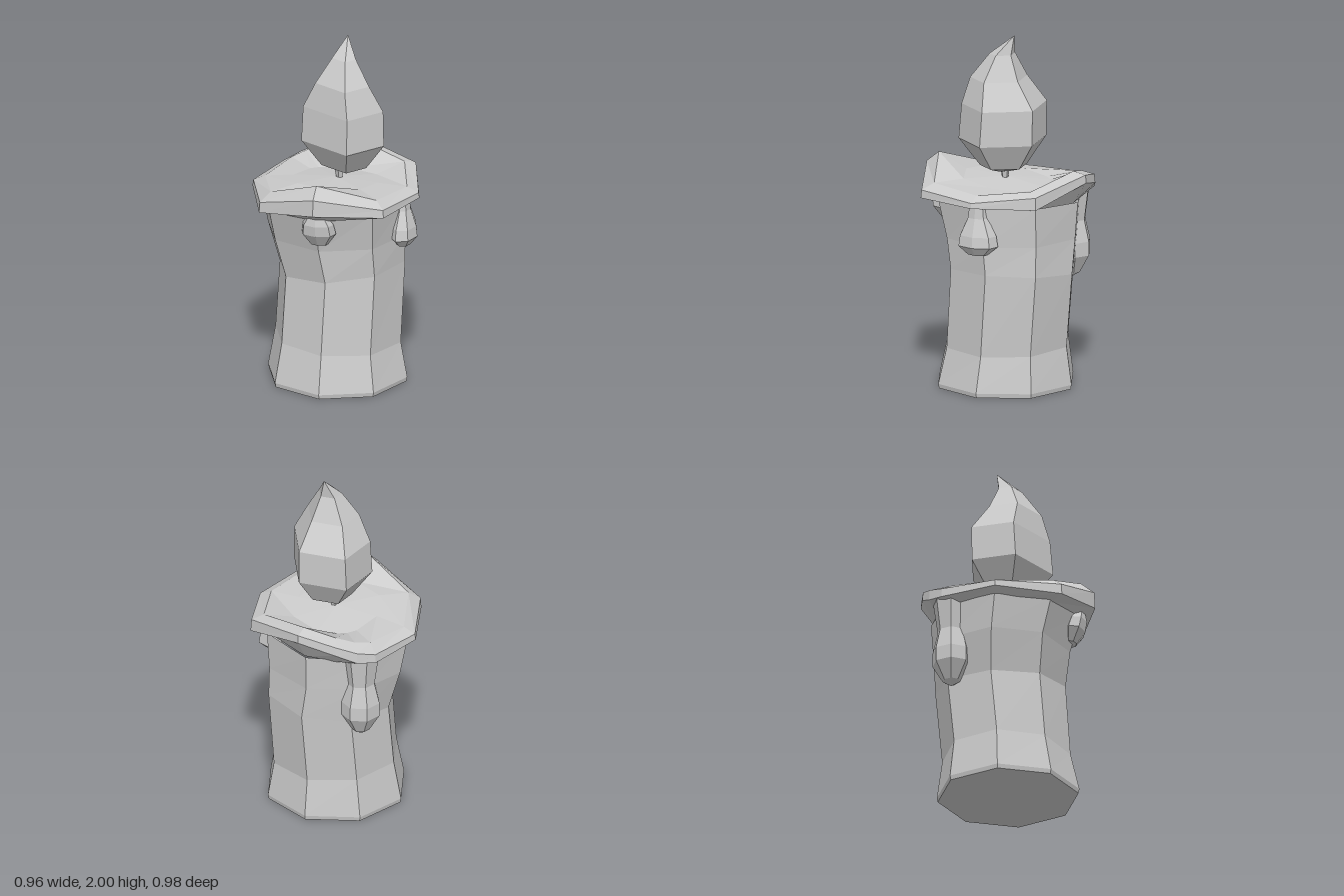
import * as THREE from 'three';

const material = new THREE.MeshStandardMaterial({ color: 0xcccccc, flatShading: true });

function mesh(name, geometry) {
  const m = new THREE.Mesh(geometry, material);
  m.name = name;
  return m;
}

// Skin a stack of rings (each an array of [x, y, z], counterclockwise from above).
function loft(rings) {
  const pos = [];
  const n = rings[0].length;
  for (let k = 0; k < rings.length - 1; k++) {
    for (let i = 0; i < n; i++) {
      const j = (i + 1) % n;
      const [a, b, c, d] = [rings[k][i], rings[k][j], rings[k + 1][j], rings[k + 1][i]];
      pos.push(...a, ...b, ...c, ...a, ...c, ...d);
    }
  }
  const g = new THREE.BufferGeometry();
  g.setAttribute('position', new THREE.Float32BufferAttribute(pos, 3));
  g.computeVertexNormals();
  return g;
}

// Wax column: leaning eight-sided rings given by their extents.
function buildBody() {
  // y, left x, right x, front z, back z, tilt of the ring along x
  const rows = [
    [0, -0.385, 0.405, 0.395, -0.395, 0],
    [0.025, -0.39, 0.41, 0.40, -0.40, 0],
    [0.24, -0.35, 0.37, 0.35, -0.37, -0.04],
    [0.66, -0.335, 0.385, 0.32, -0.41, 0.1],
    [0.86, -0.40, 0.39, 0.35, -0.415, 0],
    [1.07, -0.43, 0.41, 0.41, -0.43, 0.05],
  ];
  const rings = rows.map(([y, x0, x1, z1, z0, tilt]) => {
    const ring = [];
    for (let i = 0; i < 8; i++) {
      const a = i * Math.PI / 4;
      const x = (x0 + x1) / 2 + (x1 - x0) / 2 * Math.sin(a);
      ring.push([x, y + tilt * x, (z0 + z1) / 2 + (z1 - z0) / 2 * Math.cos(a)]);
    }
    return ring;
  });
  rings.unshift(rings[0].map(() => [0, 0, 0]));
  return mesh('waxBody', loft(rings));
}

// Uneven melted rim with a sunken pool inside.
function buildRim() {
  // x, z, lower edge y, upper edge y, crest y
  const rim = [
    [0, 0.49, 1.12, 1.215, 1.275],
    [0.37, 0.355, 1.10, 1.145, 1.18],
    [0.48, 0, 1.10, 1.13, 1.16],
    [0.37, -0.345, 1.10, 1.17, 1.19],
    [0.01, -0.49, 1.19, 1.235, 1.25],
    [-0.20, -0.45, 1.14, 1.19, 1.21],
    [-0.31, -0.395, 1.09, 1.15, 1.18],
    [-0.385, -0.315, 1.07, 1.12, 1.16],
    [-0.48, 0, 1.075, 1.11, 1.14],
    [-0.345, 0.355, 1.06, 1.12, 1.17],
  ];
  return mesh('meltedRim', loft([
    rim.map(([x, z]) => [x * 0.82, 1.06 + 0.05 * x, z * 0.82]),
    rim.map(([x, z, y]) => [x, y, z]),
    rim.map(([x, z, , y]) => [x * 0.99, y, z * 0.99]),
    rim.map(([x, z, , , y]) => [x * 0.85, y, z * 0.84]),
    rim.map(([x, z]) => [x * 0.5, 1.165 + 0.06 * z, z * 0.5]),
    rim.map(() => [0, 1.18, 0]),
  ]));
}

// Hanging drop of wax: lathe profile [radius, y], flattened towards the column.
function buildDrip(name, angle, distance, depth, lean, profile) {
  const g = new THREE.LatheGeometry(profile.map(([r, y]) => new THREE.Vector2(r, y)), 7);
  const p = g.attributes.position;
  const top = profile[profile.length - 1][1];
  for (let i = 0; i < p.count; i++) p.setZ(i, p.getZ(i) * depth - (top - p.getY(i)) * lean);
  g.computeVertexNormals();
  const m = mesh(name, g);
  m.position.set(Math.sin(angle) * distance, 0, Math.cos(angle) * distance);
  m.rotation.y = angle;
  return m;
}

// Five-sided flame whose tip curls towards the back.
function buildFlame() {
  const section = [[0.075, 0.225], [0.235, 0.025], [0.085, -0.225], [-0.19, -0.19], [-0.23, 0.06]];
  // y, scale, z shift
  const rows = [
    [1.215, 0, 0], [1.225, 0.2, 0], [1.25, 0.54, 0], [1.4, 1, 0.01], [1.6, 0.97, 0],
    [1.75, 0.65, 0.03], [1.89, 0.29, 0.005], [2, 0, -0.07],
  ];
  return mesh('flame', loft(rows.map(([y, s, dz]) =>
    section.map(([x, z]) => [0.05 + x * s, y, z * s + dz]))));
}

export function createModel() {
  const group = new THREE.Group();
  group.name = 'candle';

  const wick = mesh('wick', new THREE.CylinderGeometry(0.03, 0.015, 0.08, 5));
  wick.position.set(0.02, 1.2, 0);

  group.add(
    buildBody(),
    buildRim(),
    buildDrip('frontDrip', 0, 0.40, 0.65, 0.25,
      [[0, 0.9], [0.05, 0.91], [0.1, 0.98], [0.09, 1.04], [0.05, 1.1]]),
    buildDrip('leftDrip', Math.PI / 2, 0.39, 0.65, 0,
      [[0, 0.815], [0.06, 0.82], [0.12, 0.87], [0.11, 0.93], [0.06, 1.03], [0.05, 1.11]]),
    buildDrip('backDrip', -Math.PI * 0.75, 0.39, 0.95, 0,
      [[0, 0.57], [0.05, 0.6], [0.11, 0.7], [0.11, 0.78], [0.08, 0.9], [0.11, 1.11]]),
    wick,
    buildFlame(),
  );
  return group;
}
